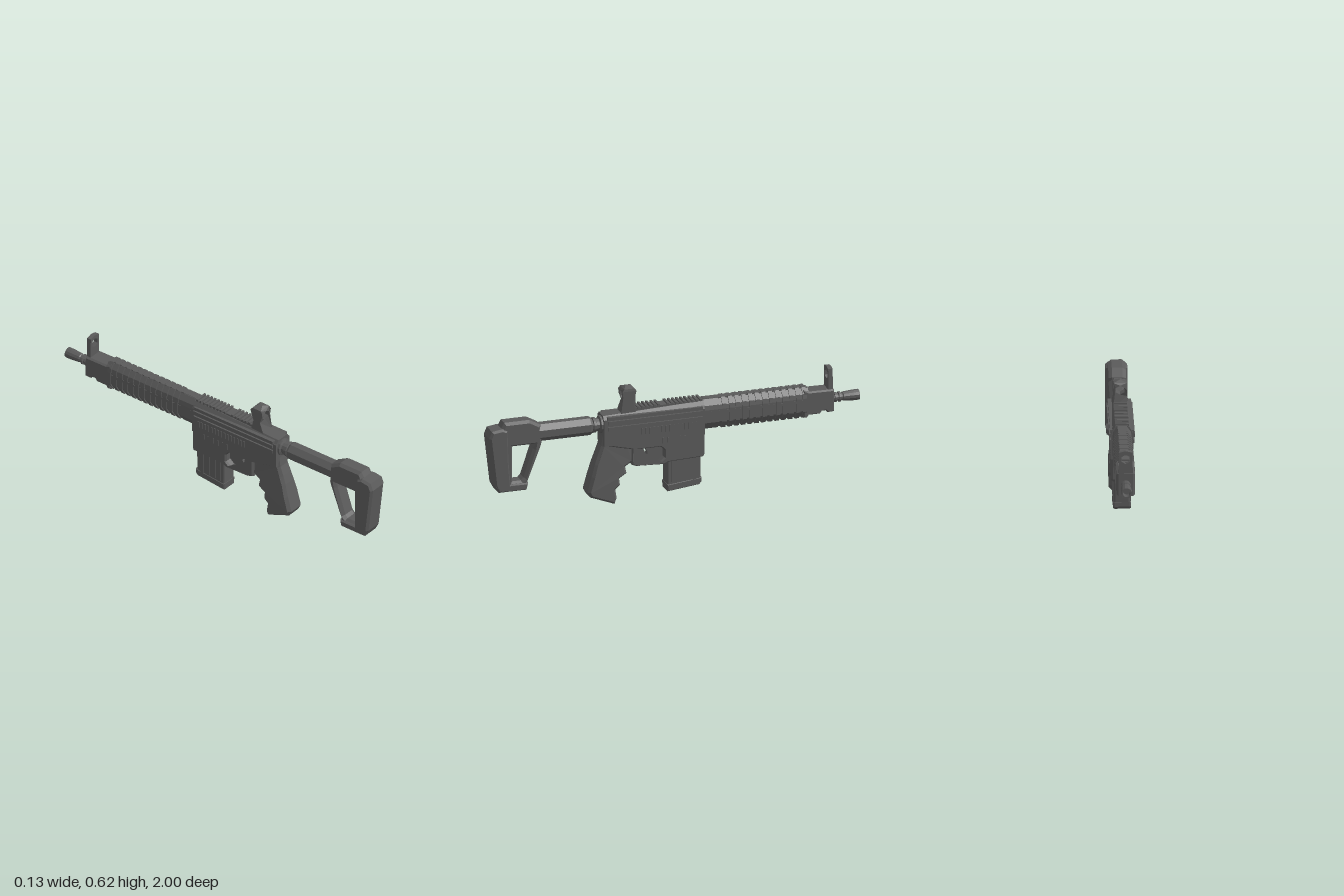
import * as THREE from 'three';

const metal = new THREE.MeshStandardMaterial({ color: 0x5a5a5a, flatShading: true });

const toShape = (pts) => new THREE.Shape(pts.map(([a, b]) => new THREE.Vector2(a, b)));

export function createModel() {
  const model = new THREE.Group();

  const add = (name, geometry, parent = model) => {
    const mesh = new THREE.Mesh(geometry, metal);
    mesh.name = name;
    parent.add(mesh);
    return mesh;
  };
  const group = (name) => {
    const g = new THREE.Group();
    g.name = name;
    model.add(g);
    return g;
  };

  // Side profile in (z, y), extruded across x to a half width
  const side = (pts, half, bevel = 0.012, hole = null) => {
    const shape = toShape(pts);
    if (hole) shape.holes.push(toShape(hole));
    const g = new THREE.ExtrudeGeometry(shape, {
      depth: 2 * (half - bevel), bevelEnabled: bevel > 0, bevelSegments: 1,
      bevelSize: bevel * 0.7, bevelThickness: bevel, bevelOffset: -bevel * 0.7,
    });
    return g.translate(0, 0, -(half - bevel)).rotateY(-Math.PI / 2);
  };

  // Mirrored cross-section in (x, y), right half listed top to bottom, extruded along z
  const section = (half, z0, z1, hole = null) => {
    const shape = toShape([...half, ...half.filter(([x]) => x > 0).reverse().map(([x, y]) => [-x, y])]);
    if (hole) shape.holes.push(toShape(hole));
    return new THREE.ExtrudeGeometry(shape, { depth: z1 - z0, bevelEnabled: false }).translate(0, 0, z0);
  };

  // Move every vertex by a rule
  const reshape = (geometry, rule) => {
    const p = geometry.attributes.position;
    const v = new THREE.Vector3();
    for (let i = 0; i < p.count; i++) {
      rule(v.fromBufferAttribute(p, i));
      p.setXYZ(i, v.x, v.y, v.z);
    }
    geometry.computeVertexNormals();
    return geometry;
  };

  const box = (w, h, d, x, y, z) => new THREE.BoxGeometry(w, h, d).translate(x, y, z);
  const hexagon = (r, cy) => Array.from({ length: 6 }, (_, i) => {
    const a = (i / 6) * Math.PI * 2 + Math.PI / 2;
    return [r * Math.cos(a), cy + r * Math.sin(a)];
  });
  // Turned part along z, profile in (radius, z)
  const turned = (pts, n, cy) => new THREE.LatheGeometry(pts.map(([r, z]) => new THREE.Vector2(r, z)), n)
    .rotateY(Math.PI / n).rotateX(Math.PI / 2).translate(0, cy, 0);

  // Shoulder stock with a triangular opening
  const stock = group('stock');
  add('stockFrame', side([[0.985, 0.43], [0.97, 0.47], [0.93, 0.48], [0.915, 0.508], [0.78, 0.508], [0.72, 0.475],
    [0.713, 0.38], [0.72, 0.355], [0.79, 0.175], [0.8, 0.14], [0.95, 0.14]], 0.045, 0.018,
  [[0.872, 0.375], [0.755, 0.375], [0.76, 0.35], [0.81, 0.2], [0.825, 0.185], [0.872, 0.185]]), stock);
  add('buttPad', side([[1, 0.435], [0.985, 0.472], [0.93, 0.48], [0.9, 0.468], [0.895, 0.3], [0.885, 0.185],
    [0.885, 0.137], [0.95, 0.137], [0.97, 0.175]], 0.056, 0.014), stock);
  add('stockFoot', side([[0.95, 0.137], [0.968, 0.175], [0.79, 0.175], [0.8, 0.137]], 0.054, 0.01), stock);

  // Stock tube and its collar
  add('stockTube', turned([[0, 0.44], [0.044, 0.44], [0.049, 0.45], [0.049, 0.73], [0, 0.73]], 8, 0.428));
  add('tubeCollar', turned([[0, 0.37], [0.046, 0.37], [0.046, 0.395], [0.034, 0.4], [0.034, 0.415], [0.04, 0.418],
    [0.04, 0.432], [0.033, 0.435], [0.033, 0.45], [0, 0.45]], 12, 0.428));

  // Upper receiver: faceted body, sloped down at the rear
  const receiver = group('receiver');
  const upper = section([[0.034, 0.503], [0.048, 0.482], [0.056, 0.464], [0.056, 0.325]], -0.155, 0.385);
  add('upperReceiver', reshape(upper, (v) => {
    if (v.z > 0.3 && v.y > 0.47) v.y -= 0.02;
  }), receiver);

  // Lower receiver with magazine well and trigger opening
  add('lowerReceiver', side([[0.385, 0.4], [0.375, 0.325], [0.3, 0.305], [0.235, 0.29], [0.235, 0.205], [0.21, 0.195],
    [0.06, 0.188], [0.04, 0.198], [-0.15, 0.205], [-0.157, 0.22], [-0.155, 0.4]], 0.056, 0.01,
  [[0.205, 0.285], [0.08, 0.285], [0.06, 0.265], [0.06, 0.225], [0.085, 0.205], [0.2, 0.205], [0.223, 0.225], [0.223, 0.265]]), receiver);
  add('triggerPlate', side([[0.23, 0.29], [0.05, 0.29], [0.05, 0.2], [0.23, 0.2]], 0.018, 0,
    [[0.165, 0.277], [0.15, 0.272], [0.139, 0.25], [0.147, 0.228], [0.16, 0.222], [0.152, 0.25]]), receiver);

  // Long side strips and vertical vents, both sides
  const details = group('sideDetails');
  for (const s of [-1, 1]) {
    [[0.418, 0.064], [0.45, 0.066], [0.47, 0.06]].forEach(([y, x]) =>
      add('sideStrip', box(0.02, 0.018, 0.51, s * (x - 0.01), y, 0.112), details));
    for (let i = 0; i < 15; i++) add('vent', box(0.008, 0.035, 0.009, s * 0.056, 0.384, 0.18 - i * 0.021), details);
    for (let i = 0; i < 6; i++) add('lowerVent', box(0.006, 0.03, 0.009, s * 0.056, 0.32, 0.07 - i * 0.03), details);
  }

  // Toothed top rail in two runs
  const rail = group('topRail');
  add('railBase', box(0.06, 0.02, 0.37, 0, 0.494, 0.03), rail);
  for (const [start, count] of [[0.195, 6], [0.035, 9]]) {
    for (let i = 0; i < count; i++) add('railTooth', box(0.07, 0.014, 0.011, 0, 0.506, start - i * 0.022), rail);
  }

  // Pistol grip with finger grooves, slimmer towards the top
  const grip = side([[0.385, 0.37], [0.393, 0.32], [0.412, 0.27], [0.428, 0.225], [0.447, 0.16], [0.47, 0.078],
    [0.455, 0.05], [0.325, 0], [0.313, 0.03], [0.32, 0.078], [0.295, 0.1], [0.3, 0.135], [0.26, 0.16],
    [0.267, 0.195], [0.225, 0.22], [0.225, 0.31], [0.26, 0.35]], 0.055, 0.018);
  add('grip', reshape(grip, (v) => {
    v.x *= 1 - 0.22 * THREE.MathUtils.clamp((v.y - 0.16) / 0.11, 0, 1);
  }));

  // Magazine with ribbed sides and a floor plate
  const magazine = group('magazine');
  add('magazineBody', side([[0.04, 0.23], [0.04, 0.06], [-0.138, 0.08], [-0.14, 0.23]], 0.042, 0.008), magazine);
  add('magazineFloor', side([[0.043, 0.072], [0.04, 0.034], [-0.13, 0.053], [-0.143, 0.068], [-0.143, 0.092]], 0.045, 0.006), magazine);
  for (const s of [-1, 1]) {
    for (let i = 0; i < 4; i++) add('magazineRib', box(0.008, 0.12, 0.018, s * 0.042, 0.145, 0.012 - i * 0.038), magazine);
  }

  // Handguard core with repeated ribs
  const guard = group('handguard');
  const guardSection = (k) => [[0.022, 0.5], [0.042, 0.472], [0.046, 0.45], [0.046, 0.385], [0.024, 0.35]]
    .map(([x, y]) => [x * k, 0.425 + (y - 0.425) * k]);
  add('handguardCore', section(guardSection(1), -0.72, -0.15), guard);
  add('handguardCollar', section(guardSection(1.06), -0.235, -0.15), guard);
  for (let i = 0; i < 13; i++) {
    const z = -0.275 - i * 0.036;
    add('handguardRib', section(guardSection(1.1), z, z + 0.022), guard);
  }
  for (const s of [-1, 1]) add('guardSideBar', box(0.012, 0.014, 0.55, s * 0.043, 0.435, -0.43), guard);
  add('topSpine', box(0.04, 0.012, 0.54, 0, 0.5, -0.43), guard);
  add('frontBlock', side([[-0.69, 0.495], [-0.72, 0.484], [-0.855, 0.482], [-0.857, 0.362], [-0.82, 0.36], [-0.81, 0.372],
    [-0.79, 0.372], [-0.78, 0.358], [-0.72, 0.358], [-0.71, 0.345], [-0.69, 0.345]], 0.047, 0.01), guard);

  // Barrel with grooved neck and open muzzle
  add('barrel', turned([[0, -0.96], [0.018, -0.96], [0.02, -1], [0.028, -1], [0.028, -0.97], [0.024, -0.915], [0.02, -0.91],
    [0.02, -0.902], [0.027, -0.9], [0.027, -0.89], [0.02, -0.888], [0.02, -0.88], [0.026, -0.878], [0.026, -0.868],
    [0.021, -0.866], [0.021, -0.84]], 12, 0.423));

  // Front sight plate
  add('frontSight', section([[0, 0.6], [0.034, 0.592], [0.036, 0.475]], -0.85, -0.826, hexagon(0.025, 0.556)));

  // Rear sight: holed plate bent along a side profile of [y, rear z, front z]
  const bend = [[0.48, 0.288, 0.208], [0.54, 0.265, 0.224], [0.575, 0.278, 0.212], [0.6, 0.28, 0.205], [0.613, 0.27, 0.215], [0.626, 0.252, 0.236]];
  const rearSight = section([[0, 0.625], [0.034, 0.613], [0.036, 0.6], [0.036, 0.575], [0.036, 0.54], [0.036, 0.48]],
    0, 1, hexagon(0.026, 0.575));
  add('rearSight', reshape(rearSight, (v) => {
    const k = Math.max(1, bend.findIndex((b) => b[0] >= v.y));
    const [a, b] = [bend[k - 1], bend[k]];
    const side = v.z > 0.5 ? 1 : 2;
    v.z = THREE.MathUtils.mapLinear(v.y, a[0], b[0], a[side], b[side]);
  }));

  return model;
}
